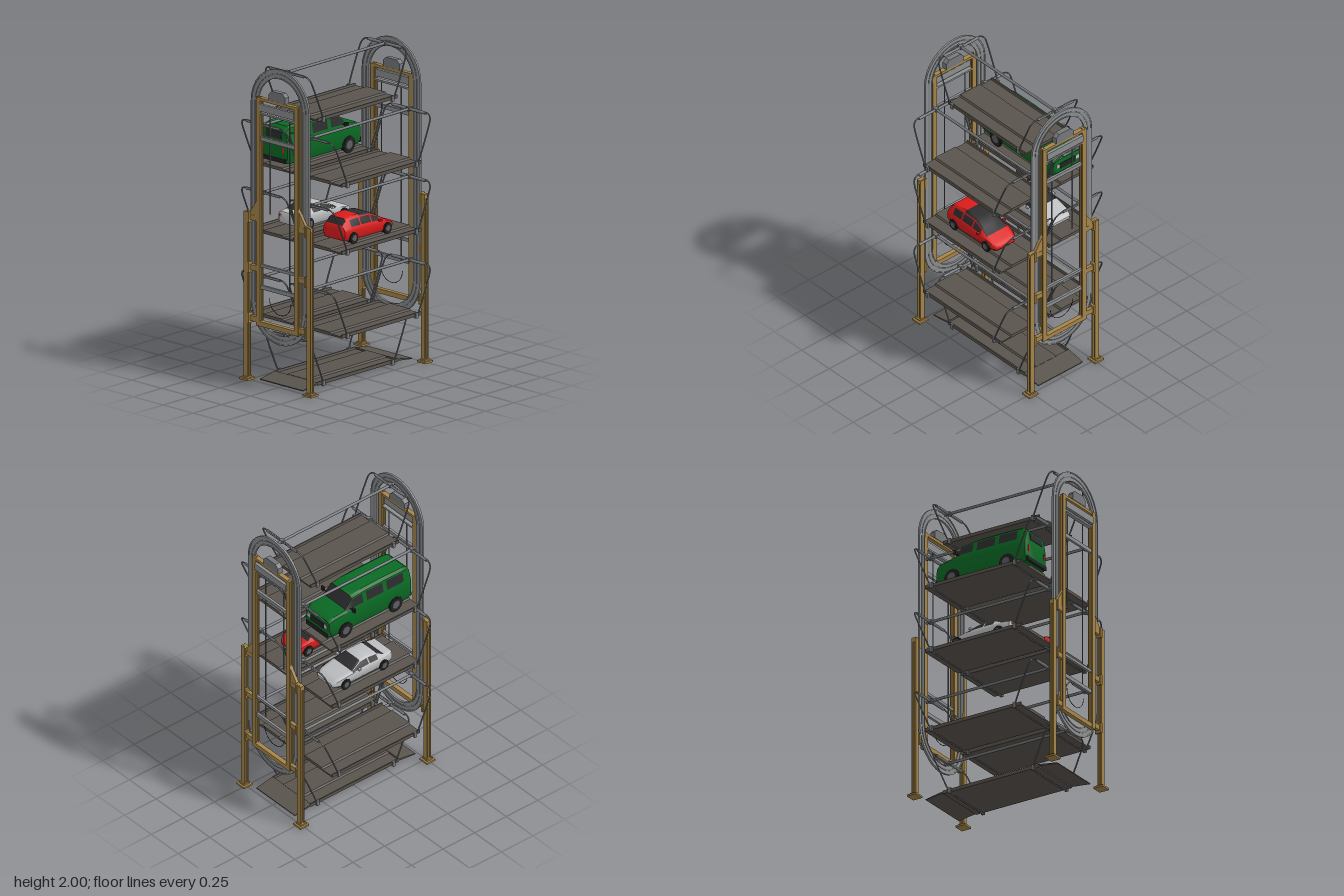
import * as THREE from 'three';
import { toCreasedNormals } from 'three/addons/utils/BufferGeometryUtils.js';

const paint = (name, color, side = THREE.FrontSide) => {
  const m = new THREE.MeshStandardMaterial({ color, side });
  m.name = name;
  return m;
};

export function createModel() {
  const M = {
    gold: paint('ochre frame', 0xa58549), rail: paint('light rail grey', 0x8c8e90),
    steel: paint('hanger steel', 0x76797c), deck: paint('deck brown grey', 0x5a544e),
    green: paint('green', 0x0a6a24), red: paint('red', 0xdc1c1c), silver: paint('silver', 0xbcbec0),
    glass: paint('dark glass', 0x2b2b2d), tyre: paint('tyre black', 0x222222), hub: paint('hub grey', 0x5c5e60),
  };
  const root = new THREE.Group();
  root.name = 'rotaryParkingTower';
  const group = (name, parent = root) => {
    const g = new THREE.Group();
    g.name = name;
    parent.add(g);
    return g;
  };
  const add = (parent, name, geo, mat, x = 0, y = 0, z = 0) => {
    const m = new THREE.Mesh(geo, mat);
    m.name = name;
    m.position.set(x, y, z);
    parent.add(m);
    return m;
  };
  const box = (p, name, mat, w, h, d, x, y, z) => add(p, name, new THREE.BoxGeometry(w, h, d), mat, x, y, z);
  const rodX = (p, name, mat, r, len, x, y, z) =>
    add(p, name, new THREE.CylinderGeometry(r, r, len, 12).rotateZ(Math.PI / 2), mat, x, y, z);
  const rodZ = (p, name, mat, r, len, x, y, z) =>
    add(p, name, new THREE.CylinderGeometry(r, r, len, 12).rotateX(Math.PI / 2), mat, x, y, z);
  // Shape drawn in (z, y), extruded along x and centred on it
  const extrudeX = (shape, len) =>
    new THREE.ExtrudeGeometry(shape, { depth: len, bevelEnabled: false }).translate(0, 0, -len / 2).rotateY(-Math.PI / 2).scale(1, 1, 1);
  const poly = (pts) => new THREE.Shape(pts.map(([a, b]) => new THREE.Vector2(a, b)));

  // ---- Guide loops and towers ----
  const LOW = 0.505, HIGH = 1.757;
  const stadium = (r) => {
    const pts = [];
    for (let i = 0; i <= 16; i++) pts.push([r * Math.cos(i * Math.PI / 16), HIGH + r * Math.sin(i * Math.PI / 16)]);
    for (let i = 16; i <= 32; i++) pts.push([r * Math.cos(i * Math.PI / 16), LOW + r * Math.sin(i * Math.PI / 16)]);
    return poly(pts);
  };
  const loop = (outer, inner, depth) => {
    const s = stadium(outer);
    s.holes.push(stadium(inner));
    return extrudeX(s, depth);
  };
  // I-section column
  const column = (p, name, y0, y1, x, z) => {
    const g = group(name, p), h = y1 - y0, y = (y0 + y1) / 2;
    for (const s of [-1, 1]) box(g, 'flange', M.gold, 0.008, h, 0.032, x + s * 0.012, y, z);
    box(g, 'web', M.gold, 0.018, h, 0.012, x, y, z);
  };

  for (const s of [1, -1]) {
    const t = group(s > 0 ? 'leftTower' : 'rightTower'), X = 0.5 * s;
    add(t, 'guideLoop', loop(0.238, 0.188, 0.006), M.rail, 0.485 * s);
    add(t, 'outerLoopFlange', loop(0.243, 0.235, 0.013), M.rail, 0.485 * s);
    add(t, 'innerLoopFlange', loop(0.19, 0.183, 0.013), M.rail, 0.485 * s);
    add(t, 'chainLoop', loop(0.216, 0.207, 0.011), M.steel, 0.485 * s);
    for (const k of [-1, 1]) {
      column(t, 'outerColumn', 0, 1.06, X, k * 0.262);
      column(t, 'innerColumn', 0.36, 1.8, X, k * 0.16);
      box(t, 'footPlate', M.gold, 0.068, 0.012, 0.07, X, 0.006, k * 0.265);
      box(t, 'footBlock', M.gold, 0.044, 0.016, 0.044, X, 0.014, k * 0.265);
      for (const y of [0.395, 0.715, 1.03]) {
        box(t, 'bracket', M.gold, 0.044, 0.066, 0.014, X, y, k * 0.238);
        box(t, 'bracketBeam', M.gold, 0.022, 0.034, 0.1, X, y, k * 0.21);
      }
      add(t, 'gusset', extrudeX(poly([[k * 0.275, 1.03], [k * 0.275, 1.06], [k * 0.23, 1.065], [k * 0.165, 1.16], [k * 0.165, 1.03]]), 0.02), M.gold, X);
    }
    box(t, 'bottomBeam', M.gold, 0.03, 0.03, 0.34, X, 0.375, 0);
    box(t, 'topBeam', M.gold, 0.03, 0.018, 0.3, X, 1.79, 0);
    box(t, 'driveBeam', M.rail, 0.02, 0.045, 0.29, 0.512 * s, 1.74, 0);
    box(t, 'driveShelf', M.rail, 0.028, 0.012, 0.29, X, 1.7, 0);
    for (const [y, h] of [[1.54, 0.025], [0.74, 0.018], [0.605, 0.025]]) box(t, 'crossRail', M.rail, 0.016, h, 0.29, X, y, 0);
    add(t, 'motorHousing', extrudeX(poly([[-0.068, 1.8], [0.068, 1.8], [0.068, 1.84], [0.045, 1.862], [-0.045, 1.862], [-0.068, 1.84]]), 0.034), M.steel, X);
    box(t, 'guideRod', M.steel, 0.006, 1.1, 0.006, 0.487 * s, 1.15, 0.08);
    box(t, 'guideRod', M.steel, 0.006, 0.63, 0.006, 0.487 * s, 1.385, -0.085);
    add(t, 'cableArc', new THREE.TorusGeometry(0.09, 0.002, 6, 20, Math.PI).rotateZ(Math.PI).rotateY(Math.PI / 2), M.tyre, 0.487 * s, 0.54, 0);
  }

  // ---- Hanging platforms ----
  const half = [[0.18, -0.012], [0.18, 0.01], [0.172, 0.01], [0.168, -0.002], [0.088, -0.002], [0.08, 0.008]];
  const deckShape = poly([...half, ...half.map(([z, y]) => [-z, y]).reverse()]);
  const hoopPath = (s) => {
    // Rounded rectangle leaning outward towards its top
    const pts = [], r = 0.045;
    [[1, 1], [-1, 1], [-1, 0], [1, 0]].forEach(([kz, top], q) => {
      for (let i = 0; i <= 4; i++) {
        const a = (q + i / 4) * Math.PI / 2;
        const y = (top ? 0.285 - r : -0.02 + r) + r * Math.sin(a);
        pts.push(new THREE.Vector3(s * (0.3 + 0.13 * (y + 0.02) / 0.305), y, kz * (0.19 - r) + r * Math.cos(a)));
      }
    });
    return new THREE.CatmullRomCurve3(pts, true);
  };
  const platform = (y, z) => {
    const g = group('platform');
    g.position.set(0, y, z);
    add(g, 'deck', extrudeX(deckShape, 0.695), M.deck, 0.003);
    rodX(g, 'hangerBar', M.steel, 0.009, 0.916, 0.002, 0.281, 0);
    for (const s of [-1, 1]) {
      add(g, 'hangerHoop', new THREE.TubeGeometry(hoopPath(s), 80, 0.0048, 8, true), M.steel);
      rodZ(g, 'hoopSleeve', M.steel, 0.009, 0.28, s * 0.428, 0.281, 0);
      box(g, 'barClamp', M.steel, 0.024, 0.024, 0.024, s * 0.428, 0.281, 0);
      for (const k of [-1, 1]) box(g, 'deckBracket', M.steel, 0.02, 0.036, 0.014, s * 0.302, -0.004, k * 0.183);
    }
    return g;
  };
  platform(1.69, 0);
  for (const y of [1.317, 0.892, 0.365]) for (const k of [-1, 1]) platform(y, k * 0.2);
  const ground = platform(0.028, 0);
  for (const s of [-1, 1]) {
    // Entry ramp, thinned towards its outer end
    const ramp = new THREE.BoxGeometry(0.13, 0.012, 0.36), p = ramp.attributes.position;
    for (let i = 0; i < p.count; i++) if (p.getX(i) * s > 0) p.setY(i, p.getY(i) > 0 ? -0.016 : -0.022);
    ramp.computeVertexNormals();
    add(ground, 'entryRamp', ramp, M.deck, s * 0.412, 0.001, 0);
  }

  // ---- Cars ----
  // Station: [x, bottom, belt, roof, halfWidth, roofHalfWidth, sideGlass, topGlass]
  const bodyGeometry = (stations) => {
    const mix = (a, b, t) => [a[0] + (b[0] - a[0]) * t, a[1] + (b[1] - a[1]) * t];
    const pos = [], body = [], glass = [], N = 18;
    for (const [x, b, belt, roof, w, wr] of stations) {
      const h = belt - b, sill = [w * 0.97, belt], edge = [wr, roof - (roof - belt) * 0.14];
      const side = [[0, b], [w * 0.87, b], [w, b + h * 0.3], [w, b + h * 0.8], sill, mix(sill, edge, 0.12), mix(sill, edge, 0.88), edge, [wr * 0.82, roof], [0, roof]];
      const ring = [...side, ...side.slice(1, 9).reverse().map(([z, y]) => [-z, y])];
      for (const [z, y] of ring) pos.push(x, y, z);
    }
    for (let i = 0; i < stations.length - 1; i++) {
      for (let j = 0; j < N; j++) {
        const a = i * N + j, b = i * N + (j + 1) % N, c = a + N, d = b + N;
        const strip = j < 9 ? j : 17 - j;
        const isGlass = (strip === 5 && stations[i][6]) || (strip >= 7 && stations[i][7]);
        (isGlass ? glass : body).push(a, c, b, b, c, d);
      }
    }
    for (let j = 1; j < N - 1; j++) {
      const e = (stations.length - 1) * N;
      body.push(0, j, j + 1, e, e + j + 1, e + j);
    }
    const geo = new THREE.BufferGeometry();
    geo.setAttribute('position', new THREE.Float32BufferAttribute(pos, 3));
    // Loft rows run sill to roof, so reverse if the enclosed side is facing out
    geo.setIndex([...body, ...glass]);
    geo.addGroup(0, body.length, 0);
    geo.addGroup(body.length, glass.length, 1);
    return toCreasedNormals(geo, 0.6);
  };
  const car = (name, mat, y, z, stations, axles, r, w) => {
    const g = group(name);
    g.position.set(0, y, z);
    add(g, 'body', bodyGeometry(stations), [mat, M.glass]);
    for (const x of axles) for (const s of [-1, 1]) {
      rodZ(g, 'wheelArch', M.tyre, r * 1.18, 0.004, x, r, s * w).geometry = new THREE.CylinderGeometry(r * 1.18, r * 1.18, 0.004, 24).rotateX(Math.PI / 2);
      add(g, 'tyre', new THREE.CylinderGeometry(r, r, 0.04, 24).rotateX(Math.PI / 2), M.tyre, x, r, s * (w - 0.015));
      rodZ(g, 'hub', M.hub, r * 0.62, 0.004, x, r, s * (w + 0.005));
    }
    return g;
  };

  const van = car('greenVan', M.green, 1.322, -0.2, [
    [-0.34, 0.05, 0.13, 0.16, 0.095, 0.08], [-0.33, 0.03, 0.17, 0.235, 0.112, 0.09],
    [-0.305, 0.025, 0.17, 0.258, 0.118, 0.098], [-0.27, 0.025, 0.17, 0.262, 0.12, 0.1, 1],
    [-0.14, 0.025, 0.17, 0.264, 0.12, 0.1], [-0.11, 0.025, 0.17, 0.264, 0.12, 0.1, 1],
    [0.02, 0.025, 0.17, 0.262, 0.12, 0.1], [0.05, 0.025, 0.17, 0.26, 0.12, 0.1, 1],
    [0.13, 0.025, 0.17, 0.25, 0.12, 0.098, 1, 1], [0.18, 0.025, 0.165, 0.18, 0.12, 0.104],
    [0.285, 0.025, 0.15, 0.164, 0.115, 0.098], [0.312, 0.03, 0.13, 0.145, 0.108, 0.09], [0.32, 0.04, 0.08, 0.09, 0.1, 0.085],
  ], [-0.2, 0.195], 0.045, 0.12);
  const grille = box(van, 'grille', M.tyre, 0.006, 0.035, 0.12, 0.319, 0.1, 0);
  grille.rotation.z = 0.14;
  box(van, 'frontBumper', M.tyre, 0.012, 0.03, 0.2, 0.318, 0.045, 0);
  box(van, 'rearBumper', M.tyre, 0.012, 0.025, 0.2, -0.338, 0.045, 0);
  box(van, 'rearWindow', M.glass, 0.006, 0.045, 0.13, -0.335, 0.2, 0).rotation.z = -0.13;
  for (const s of [-1, 1]) {
    box(van, 'mirror', M.tyre, 0.014, 0.026, 0.022, 0.15, 0.185, s * 0.146);
    rodZ(van, 'mirrorArm', M.tyre, 0.003, 0.03, 0.15, 0.18, s * 0.125);
    box(van, 'headlamp', M.silver, 0.006, 0.025, 0.022, 0.317, 0.105, s * 0.078);
    box(van, 'tailLamp', M.red, 0.006, 0.04, 0.014, -0.338, 0.115, s * 0.084);
  }

  const hatch = car('redHatchback', M.red, 0.9, 0.2, [
    [-0.235, 0.035, 0.075, 0.085, 0.078, 0.068], [-0.225, 0.02, 0.09, 0.115, 0.09, 0.066, 0, 1],
    [-0.195, 0.016, 0.094, 0.15, 0.096, 0.068], [-0.17, 0.015, 0.094, 0.155, 0.1, 0.07, 1],
    [-0.095, 0.015, 0.093, 0.159, 0.1, 0.072], [-0.085, 0.015, 0.093, 0.159, 0.1, 0.072, 1, 1],
    [0, 0.015, 0.091, 0.154, 0.1, 0.071, 0, 1], [0.01, 0.015, 0.09, 0.152, 0.1, 0.07, 1, 1],
    [0.075, 0.015, 0.086, 0.12, 0.1, 0.075, 0, 1], [0.125, 0.015, 0.08, 0.089, 0.1, 0.084],
    [0.18, 0.016, 0.062, 0.07, 0.09, 0.075], [0.203, 0.02, 0.05, 0.056, 0.076, 0.066], [0.21, 0.03, 0.042, 0.046, 0.065, 0.058],
  ], [-0.158, 0.135], 0.031, 0.1);

  const sedan = car('silverSedan', M.silver, 0.9, -0.2, [
    [-0.21, 0.04, 0.07, 0.076, 0.075, 0.068], [-0.2, 0.02, 0.084, 0.092, 0.088, 0.078],
    [-0.14, 0.015, 0.086, 0.096, 0.098, 0.084, 0, 1], [-0.085, 0.015, 0.086, 0.127, 0.1, 0.07, 1],
    [-0.02, 0.015, 0.086, 0.134, 0.1, 0.068], [-0.012, 0.015, 0.086, 0.134, 0.1, 0.068, 1],
    [0.04, 0.015, 0.085, 0.129, 0.1, 0.068, 1, 1], [0.115, 0.015, 0.082, 0.091, 0.1, 0.084],
    [0.215, 0.016, 0.066, 0.075, 0.092, 0.078], [0.25, 0.022, 0.052, 0.059, 0.078, 0.066], [0.26, 0.032, 0.045, 0.049, 0.065, 0.058],
  ], [-0.125, 0.175], 0.031, 0.1);

  for (const [c, front, back] of [[hatch, 0.2, -0.233], [sedan, 0.25, -0.207]]) for (const s of [-1, 1]) {
    box(c, 'headlamp', M.hub, 0.016, 0.008, 0.025, front - 0.006, 0.051, s * 0.062).rotation.z = -0.5;
    box(c, 'tailLamp', M.red, 0.006, 0.016, 0.02, back, 0.07, s * 0.066);
    box(c, 'mirror', c === hatch ? M.red : M.silver, 0.016, 0.012, 0.018, 0.07, 0.094, s * 0.104);
  }
  return root;
}
